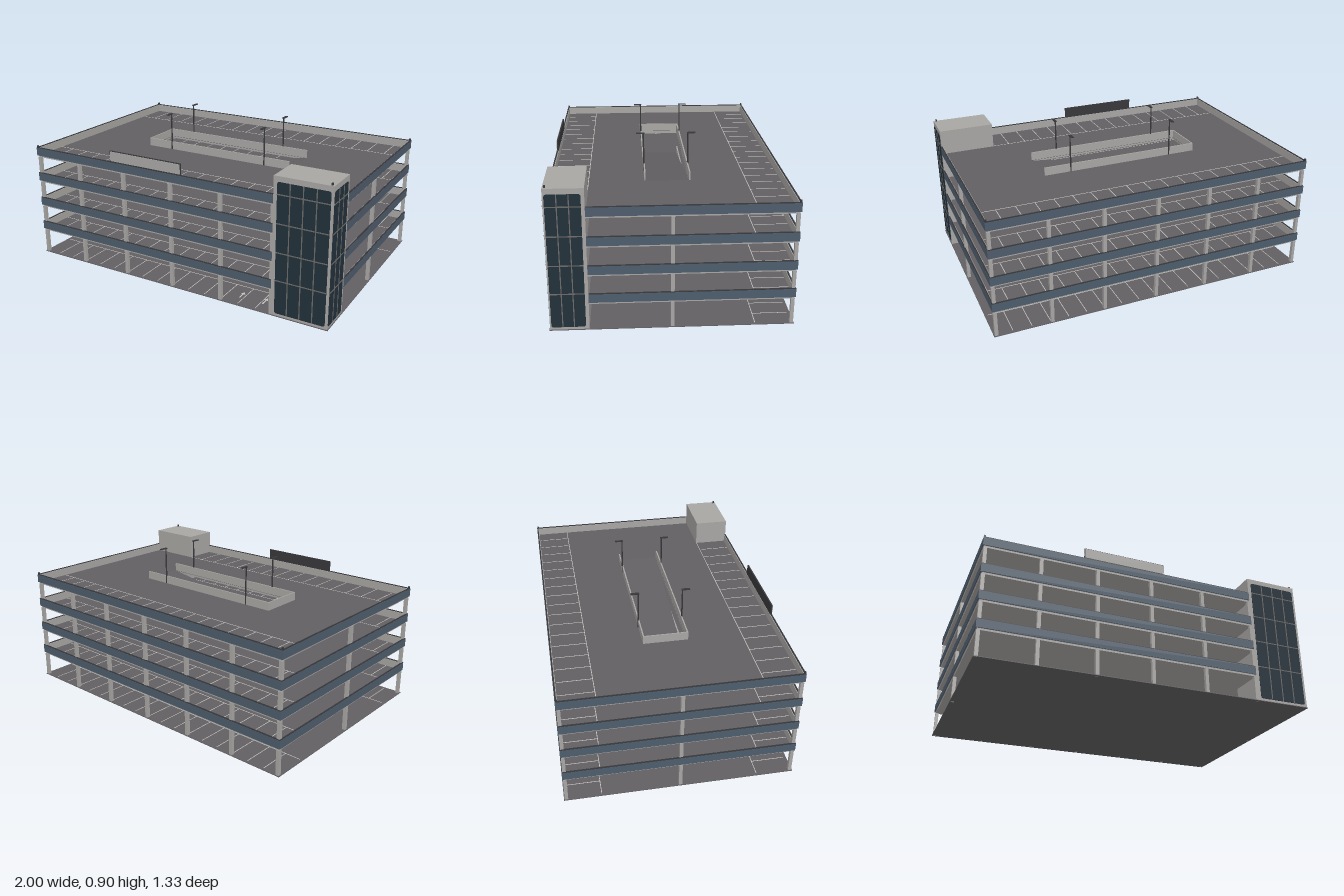
import * as THREE from 'three';

const mat = (name, color, side = THREE.FrontSide) => {
  const m = new THREE.MeshStandardMaterial({ color, side });
  m.name = name;
  return m;
};

export function createModel() {
  const concrete = mat('concrete', 0xa8a6a3);
  const asphalt = mat('asphalt', 0x625f62);
  const blue = mat('blue cladding', 0x4d5c6b);
  const glass = mat('dark glass', 0x22303a);
  const mullionGrey = mat('mullion grey', 0x6c6a69);
  const steel = mat('dark steel', 0x38383b);
  const paint = mat('line paint', 0xc4c4c0);

  const model = new THREE.Group();
  model.name = 'parkingGarage';
  const group = (name, parent = model) => {
    const g = new THREE.Group();
    g.name = name;
    parent.add(g);
    return g;
  };
  const add = (parent, name, geo, material) => {
    const m = new THREE.Mesh(geo, material);
    m.name = name;
    parent.add(m);
    return m;
  };
  // Box given by its minimum and maximum corners
  const box = (parent, name, material, x0, x1, y0, y1, z0, z1) => {
    const m = add(parent, name, new THREE.BoxGeometry(x1 - x0, y1 - y0, z1 - z0), material);
    m.position.set((x0 + x1) / 2, (y0 + y1) / 2, (z0 + z1) / 2);
    return m;
  };
  const polygon = (pts) => new THREE.Shape(pts.map(([x, y]) => new THREE.Vector2(x, y)));
  const rect = (x0, x1, y0, y1) => polygon([[x0, y0], [x1, y0], [x1, y1], [x0, y1]]);
  const extrude = (shape, depth) =>
    new THREE.ExtrudeGeometry(shape, { depth, bevelEnabled: false, curveSegments: 5 });

  const H = 1 / 6;      // storey height
  const W = 0.667;      // half depth of the building
  const RX = 0.5, RZ = 0.125; // ramp opening half sizes
  const TX = 0.66, TZ = 0.45; // inner corner of the stair tower

  // Ground slab
  box(model, 'groundSlab', asphalt, -1, 1, 0, 0.004, -W, W);

  // Floor plate with the ramp opening
  const plate = (thickness) => {
    const shape = rect(-0.992, 0.992, -W + 0.008, W - 0.008);
    shape.holes.push(rect(-RX, RX, -RZ, RZ));
    return extrude(shape, thickness).rotateX(-Math.PI / 2);
  };

  // Parking bay lines
  const bayLines = (floor, y) => {
    const lines = group('bayLines', floor);
    for (const s of [-1, 1]) {
      const xEnd = s > 0 ? TX : 0.985;
      box(lines, 'aisleLine', paint, -0.985, xEnd, y, y + 0.001, s * 0.453 - 0.002, s * 0.453 + 0.002);
      for (let i = -8; i <= 8; i++) {
        const x = i / 9;
        if (x > xEnd - 0.005) continue;
        box(lines, 'bayLine', paint, x - 0.002, x + 0.002, y, y + 0.001,
          s > 0 ? 0.453 : -0.65, s > 0 ? 0.65 : -0.453);
      }
    }
  };

  // Perimeter parapet: concrete inside, cladding outside, dark rail on top
  const parapet = (floor, y) => {
    const g = group('parapet', floor);
    const sides = [
      ['x', 1, -1, TX], ['x', -1, -1, 1],
      ['z', 1, -W, TZ], ['z', -1, -W, W],
    ];
    for (const [axis, s, a, b] of sides) {
      const edge = axis === 'x' ? W : 1;
      const run = (name, material, y0, y1, inner, outer, trim = 0) => {
        const c = [s * (edge - inner), s * (edge - outer)].sort((p, q) => p - q);
        const lo = a + trim, hi = b - trim;
        if (axis === 'x') box(g, name, material, lo, hi, y0, y1, c[0], c[1]);
        else box(g, name, material, c[0], c[1], y0, y1, lo, hi);
      };
      run('parapetWall', concrete, y - 0.001, y + 0.048, 0.013, 0.004, 0.004);
      run('parapetPanel', blue, y - 0.002, y + 0.048, 0.004, 0);
      run('parapetRail', steel, y + 0.048, y + 0.052, 0.009, 0.001, 0.001);
    }
  };

  // Ramp profile, rising towards +x
  const ramp = (floor, y) => {
    const body = polygon([[-RX + 0.07, 0.002], [RX, H - 0.014], [RX, H - 0.002], [-RX, 0.002]]);
    add(floor, 'ramp', extrude(body, 2 * RZ - 0.002), concrete).position.set(0, y, -RZ + 0.001);
    const top = polygon([[-RX, 0.002], [RX, H - 0.002], [RX, H], [-RX, 0.004]]);
    add(floor, 'rampSurface', extrude(top, 2 * RZ - 0.002), asphalt).position.set(0, y, -RZ + 0.001);
  };

  for (let level = 0; level <= 4; level++) {
    const floor = group('level' + level);
    const y = level * H;
    bayLines(floor, level ? y : 0.004);

    if (level > 0) {
      add(floor, 'slab', plate(0.011), concrete).position.y = y - 0.013;
      add(floor, 'deckSurface', plate(0.002), asphalt).position.y = y - 0.002;
      parapet(floor, y);
      // Guard walls beside the ramp opening
      for (const s of [-1, 1]) {
        const z = s * (RZ + 0.004);
        box(floor, 'rampGuard', concrete, -RX, RX, y, y + 0.05, z - 0.004, z + 0.004);
      }
      if (level === 4) box(floor, 'rampEndGuard', concrete, -RX - 0.007, -RX, y, y + 0.05, -RZ - 0.008, RZ + 0.008);
    }

    if (level < 4) {
      ramp(floor, y);
      // Columns under the next floor
      const column = (x, z) =>
        box(floor, 'column', concrete, x - 0.01, x + 0.01, y, y + H - 0.012, z - 0.01, z + 0.01);
      for (const x of [-0.985, -0.667, -0.333, 0, 0.333, 0.657, 0.985]) {
        column(x, -0.653);
        if (x < 0.9) column(x, 0.653);
      }
      for (const x of [-0.985, 0.985]) column(x, 0);
    }
  }

  // Painted arrows at the entrance
  for (const x of [0.42, 0.57]) {
    const arrow = polygon([[-0.004, -0.035], [0.004, -0.035], [0.004, 0.01], [0.014, 0.01],
      [0, 0.035], [-0.014, 0.01], [-0.004, 0.01]]);
    add(model, 'laneArrow', extrude(arrow, 0.001).rotateX(-Math.PI / 2), paint).position.set(x, 0.004, 0.55);
  }

  // Stair tower with two glazed faces
  const tower = group('stairTower');
  box(tower, 'towerBody', concrete, TX, 0.996, 0.003, 0.82, TZ, W - 0.004);
  const roundedPanel = (w, h, r) => {
    const s = new THREE.Shape();
    const a = w / 2, b = h / 2;
    s.moveTo(-a + r, -b).lineTo(a - r, -b).quadraticCurveTo(a, -b, a, -b + r);
    s.lineTo(a, b - r).quadraticCurveTo(a, b, a - r, b);
    s.lineTo(-a + r, b).quadraticCurveTo(-a, b, -a, b - r);
    s.lineTo(-a, -b + r).quadraticCurveTo(-a, -b, -a + r, -b);
    return extrude(s, 0.002);
  };
  const glazing = (name, width, panes) => {
    const g = group(name, tower);
    const h = 0.77;
    add(g, 'glass', roundedPanel(width, h, 0.014), glass);
    for (let i = 1; i < panes; i++) {
      const x = (i / panes - 0.5) * width;
      box(g, 'verticalMullion', mullionGrey, x - 0.003, x + 0.003, -h / 2, h / 2, 0.001, 0.004);
    }
    for (const y of [0.22, 0.387, 0.555, 0.72])
      box(g, 'horizontalMullion', mullionGrey, -width / 2, width / 2, y - 0.407, y - 0.401, 0.001, 0.004);
    return g;
  };
  glazing('frontGlazing', 0.3, 4).position.set(0.832, 0.404, W - 0.004);
  const side = glazing('sideGlazing', 0.186, 3);
  side.position.set(0.996, 0.404, 0.562);
  side.rotation.y = Math.PI / 2;

  // Small posts on the corners
  const post = (x, y, z) => box(model, 'cornerPost', steel, x - 0.005, x + 0.005, y, y + 0.012, z - 0.005, z + 0.005);
  post(0.98, 0.82, 0.65);
  for (const [x, z] of [[-0.993, 0.66], [-0.993, -0.66], [0.993, -0.66]]) post(x, 0.717, z);

  // Blank sign board over the front parapet
  const sign = group('signBoard');
  box(sign, 'signBack', steel, -0.417, 0.081, 0.718, 0.785, 0.654, 0.662);
  box(sign, 'signFace', concrete, -0.413, 0.077, 0.722, 0.781, 0.662, 0.665);

  // Roof lamps beside the ramp
  for (const x of [-1 / 3, 1 / 3]) {
    for (const s of [-1, 1]) {
      const lamp = group('roofLamp');
      const pole = add(lamp, 'lampPole', new THREE.CylinderGeometry(0.004, 0.005, 0.233, 8), steel);
      pole.position.set(x, 4 * H + 0.1165, s * 0.131);
      const head = add(lamp, 'lampHead', new THREE.BoxGeometry(0.016, 0.005, 0.05), steel);
      head.position.set(x, 0.901, s * 0.15);
    }
  }
  return model;
}
